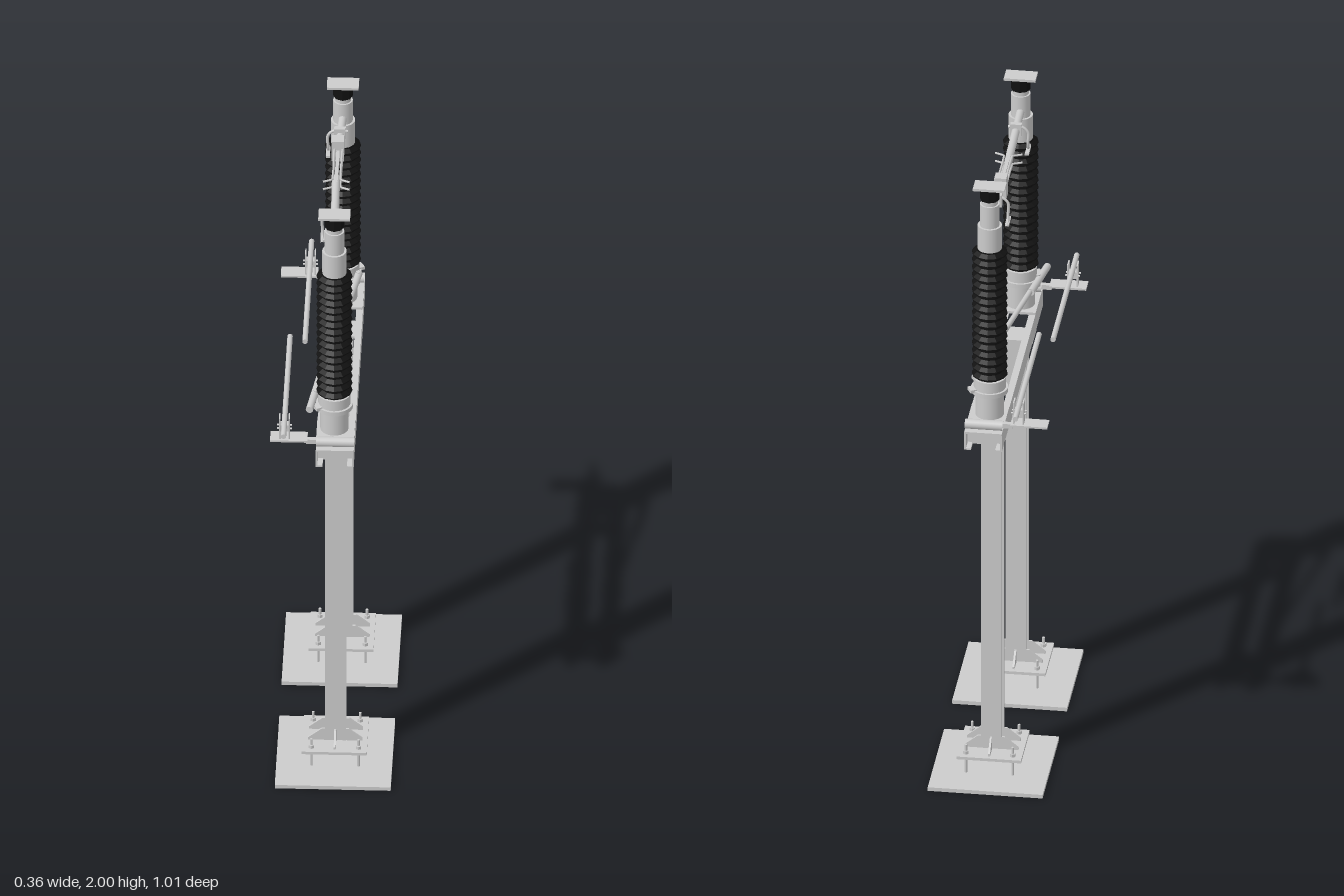
import * as THREE from 'three';

export function createModel() {
  const root = new THREE.Group();
  const grey = new THREE.MeshStandardMaterial({ color: 0xcccccc, flatShading: true });
  const smooth = new THREE.MeshStandardMaterial({ color: 0xcccccc });
  const thin = new THREE.MeshStandardMaterial({ color: 0xcccccc, side: THREE.DoubleSide });
  const black = new THREE.MeshStandardMaterial({ color: 0x111111, flatShading: true });

  const add = (name, geo, mat = grey, parent = root) => {
    const m = new THREE.Mesh(geo, mat);
    m.name = name;
    parent.add(m);
    return m;
  };
  // Box given by its limits on each axis
  const box = (name, x0, x1, y0, y1, z0, z1, parent = root) => {
    const g = new THREE.BoxGeometry(x1 - x0, y1 - y0, z1 - z0);
    g.translate((x0 + x1) / 2, (y0 + y1) / 2, (z0 + z1) / 2);
    return add(name, g, grey, parent);
  };
  // Upright cylinder between two heights
  const cyl = (name, x, z, y0, y1, r, sides = 20, mat = smooth, parent = root) => {
    const g = new THREE.CylinderGeometry(r, r, y1 - y0, sides);
    g.translate(x, (y0 + y1) / 2, z);
    return add(name, g, mat, parent);
  };
  // Round bar between two points
  const bar = (name, a, b, r, sides = 14, parent = root) => {
    const p = new THREE.Vector3(...a), q = new THREE.Vector3(...b);
    const d = q.clone().sub(p);
    const m = add(name, new THREE.CylinderGeometry(r, r, d.length(), sides), smooth, parent);
    m.position.copy(p).lerp(q, 0.5);
    m.quaternion.setFromUnitVectors(new THREE.Vector3(0, 1, 0), d.normalize());
    return m;
  };

  const CX = 0.007;

  // Footing, anchor bolts and H-section column for each end
  for (const s of [1, -1]) {
    const post = new THREE.Group();
    post.name = s > 0 ? 'frontPost' : 'backPost';
    root.add(post);
    const zc = s * 0.265;
    box('groundPlate', -0.166, 0.176, 0, 0.012, zc - 0.178, zc + 0.178, post);
    box('basePlate', -0.09, 0.102, 0.066, 0.075, zc - 0.094, zc + 0.094, post);
    for (const x of [-0.062, 0.077]) for (const z of [zc - 0.07, zc + 0.07]) {
      cyl('anchorBolt', x, z, 0.01, 0.105, 0.004, 8, smooth, post);
      for (const y of [0.056, 0.075]) cyl('anchorNut', x, z, y, y + 0.01, 0.009, 6, grey, post);
    }
    box('columnWeb', CX - 0.004, CX + 0.004, 0.075, 1.165, zc - 0.025, zc + 0.025, post);
    for (const d of [-1, 1]) {
      const z = zc + d * 0.0275;
      box('columnFlange', CX - 0.031, CX + 0.031, 0.075, 1.165, z - 0.0035, z + 0.0035, post);
    }
    // Triangular stiffeners on four sides of the column foot
    const tri = new THREE.Shape([[0, 0], [0.05, 0], [0.05, 0.008], [0.01, 0.04], [0, 0.04]]
      .map(p => new THREE.Vector2(...p)));
    const gusset = new THREE.ExtrudeGeometry(tri, { depth: 0.006, bevelEnabled: false });
    gusset.translate(0.03, 0.075, -0.003);
    for (let i = 0; i < 4; i++) for (const off of i % 2 ? [0] : [-0.0275, 0.0275]) {
      const g = gusset.clone().translate(0, 0, off);
      const m = add('footGusset', g, grey, post);
      m.rotation.y = i * Math.PI / 2;
      m.position.set(CX, 0, zc);
    }
    box('headPlate', -0.045, 0.067, 1.158, 1.165, zc - 0.04, zc + 0.04, post);
  }

  // Pair of inward-facing channels forming the cross beam
  for (const s of [1, -1]) {
    const outer = 0.011 + s * 0.056, web = outer - s * 0.005, lip = outer - s * 0.02;
    const lim = (a, b) => [Math.min(a, b), Math.max(a, b)];
    box('beamWeb', ...lim(outer, web), 1.163, 1.222, -0.445, 0.445);
    for (const y of [1.163, 1.217]) box('beamFlange', ...lim(outer, lip), y, y + 0.005, -0.445, 0.445);
  }

  // Beam ends, rod brackets and drive rods
  for (const s of [1, -1]) {
    const end = new THREE.Group();
    end.name = s > 0 ? 'frontBeamEnd' : 'backBeamEnd';
    root.add(end);
    const zr = (a, b) => (s > 0 ? [a, b] : [-b, -a]);
    box('endWeb', -0.045, 0.067, 1.163, 1.222, ...zr(0.4, 0.405), end);
    box('endFlange', -0.045, 0.067, 1.218, 1.224, ...zr(0.4, 0.447), end);
    const arch = add('crossSaddle', new THREE.CylinderGeometry(0.015, 0.015, 0.112, 16, 1, true), thin, end);
    arch.rotation.z = Math.PI / 2;
    arch.position.set(0.011, 1.239, s * 0.422);
    box('bracketPlate', -0.18, -0.07, 1.25, 1.256, ...zr(0.398, 0.446), end);
    box('bracketArm', -0.075, -0.03, 1.235, 1.25, ...zr(0.415, 0.43), end);
    const rx = s > 0 ? -0.138 : -0.093;
    for (const d of [-0.014, 0.014])
      box('clampCheek', rx + d - 0.002, rx + d + 0.002, 1.256, 1.328, ...zr(0.406, 0.438), end);
    box('clampSaddle', rx - 0.014, rx + 0.014, 1.28, 1.302, ...zr(0.41, 0.434), end);
    for (const z of [0.413, 0.431])
      bar('clampBolt', [rx - 0.022, 1.29, s * z], [rx + 0.022, 1.29, s * z], 0.003, 8, end);
    bar('driveRod', [rx, 1.31, s * -0.014], [rx, 1.31, s * 0.503], 0.008, 16, end);
  }

  // Insulator stacks
  const sheds = 17, y0 = 1.355, y1 = 1.79, pitch = (y1 - y0) / sheds;
  const profile = [new THREE.Vector2(0, y0), new THREE.Vector2(0.04, y0)];
  for (let i = 0; i < sheds; i++) {
    const y = y0 + i * pitch;
    for (const [r, t] of [[0.04, 0.2], [0.053, 0.4], [0.053, 0.55], [0.04, 0.9]])
      profile.push(new THREE.Vector2(r, y + t * pitch));
  }
  profile.push(new THREE.Vector2(0.04, y1), new THREE.Vector2(0, y1));
  const stackGeo = new THREE.LatheGeometry(profile, 12);

  for (const s of [1, -1]) {
    const g = new THREE.Group();
    g.name = s > 0 ? 'frontInsulator' : 'backInsulator';
    g.position.set(0.006, 0, s * 0.336);
    root.add(g);
    box('mountPlate', -0.052, 0.06, 1.222, 1.23, -0.055, 0.055, g);
    cyl('bearingHousing', 0, 0, 1.23, 1.32, 0.042, 24, smooth, g);
    cyl('rotaryFlange', 0, 0, 1.308, 1.322, 0.055, 24, smooth, g);
    cyl('stackFoot', 0, 0, 1.322, 1.356, 0.048, 24, smooth, g);
    add('shedStack', stackGeo, black, g);
    cyl('stackCap', 0, 0, 1.79, 1.868, 0.036, 24, smooth, g);
    cyl('terminalHousing', 0, 0, 1.868, 1.94, 0.029, 24, smooth, g);
    cyl('terminalCollar', 0, 0, 1.935, 1.955, 0.024, 24, smooth, g);
    cyl('terminalHead', 0, 0, 1.955, 1.992, 0.029, 8, black, g);
    box('terminalPad', -0.047, 0.047, 1.992, 2.0, -0.027, 0.027, g);
    // Side lever turned by the coupling rod
    const lever = box('couplingLever', -0.065, 0, 1.316, 1.326, -0.014, 0.014, g);
    lever.rotation.y = s > 0 ? 0.5 : Math.PI + 0.5;
  }

  // Coupling rod between the two rotary bases
  bar('couplingRod', [-0.05, 1.333, 0.3], [0.052, 1.333, -0.3], 0.008);
  bar('couplingEnd', [-0.066, 1.329, 0.39], [-0.04, 1.333, 0.22], 0.011);
  bar('couplingEnd', [0.054, 1.333, -0.31], [0.024, 1.333, -0.13], 0.011);
  bar('couplingPin', [-0.05, 1.305, 0.31], [-0.05, 1.345, 0.31], 0.006, 8);
  bar('couplingPin', [0.052, 1.305, -0.3], [0.052, 1.345, -0.3], 0.006, 8);

  // Contact arms, jaw block and flared fingers
  const AY = 1.888;
  bar('frontArm', [0.004, AY, 0.32], [-0.002, AY, -0.01], 0.012, 16);
  box('contactBlade', -0.006, 0.004, AY - 0.012, AY + 0.012, -0.14, 0.03);
  bar('backArm', [0.006, AY, -0.32], [0, AY, -0.16], 0.012, 16);
  box('jawBlock', -0.02, 0.016, 1.86, 1.93, -0.168, -0.132);
  for (const s of [1, -1]) for (const y of [1.875, 1.902]) {
    const path = new THREE.CurvePath();
    const pts = [[s * 0.012, y, -0.14], [s * 0.011, y, -0.03], [s * 0.012, y, 0.022], [s * 0.04, y, 0.034]]
      .map(p => new THREE.Vector3(...p));
    for (let i = 0; i < 3; i++) path.add(new THREE.LineCurve3(pts[i], pts[i + 1]));
    add('jawFinger', new THREE.TubeGeometry(path, 24, 0.0035, 6), smooth);
  }

  // Hooked side horns hanging from the arms
  for (const [z, foot] of [[0.2, 1], [-0.23, -1]]) {
    const curve = new THREE.CatmullRomCurve3([[0.025, 1.9, z], [-0.015, 1.902, z], [-0.034, 1.885, z],
      [-0.034, 1.845, z], [-0.034, 1.826, z + foot * 0.01], [-0.034, 1.823, z + foot * 0.035]]
      .map(p => new THREE.Vector3(...p)));
    add('sideHorn', new THREE.TubeGeometry(curve, 30, 0.0045, 8), smooth);
    box('hornFoot', -0.04, -0.028, 1.82, 1.827, z - 0.025, z + 0.025);
    box('hornClamp', -0.016, 0.018, 1.872, 1.912, z - 0.008, z + 0.008);
  }
  return root;
}
